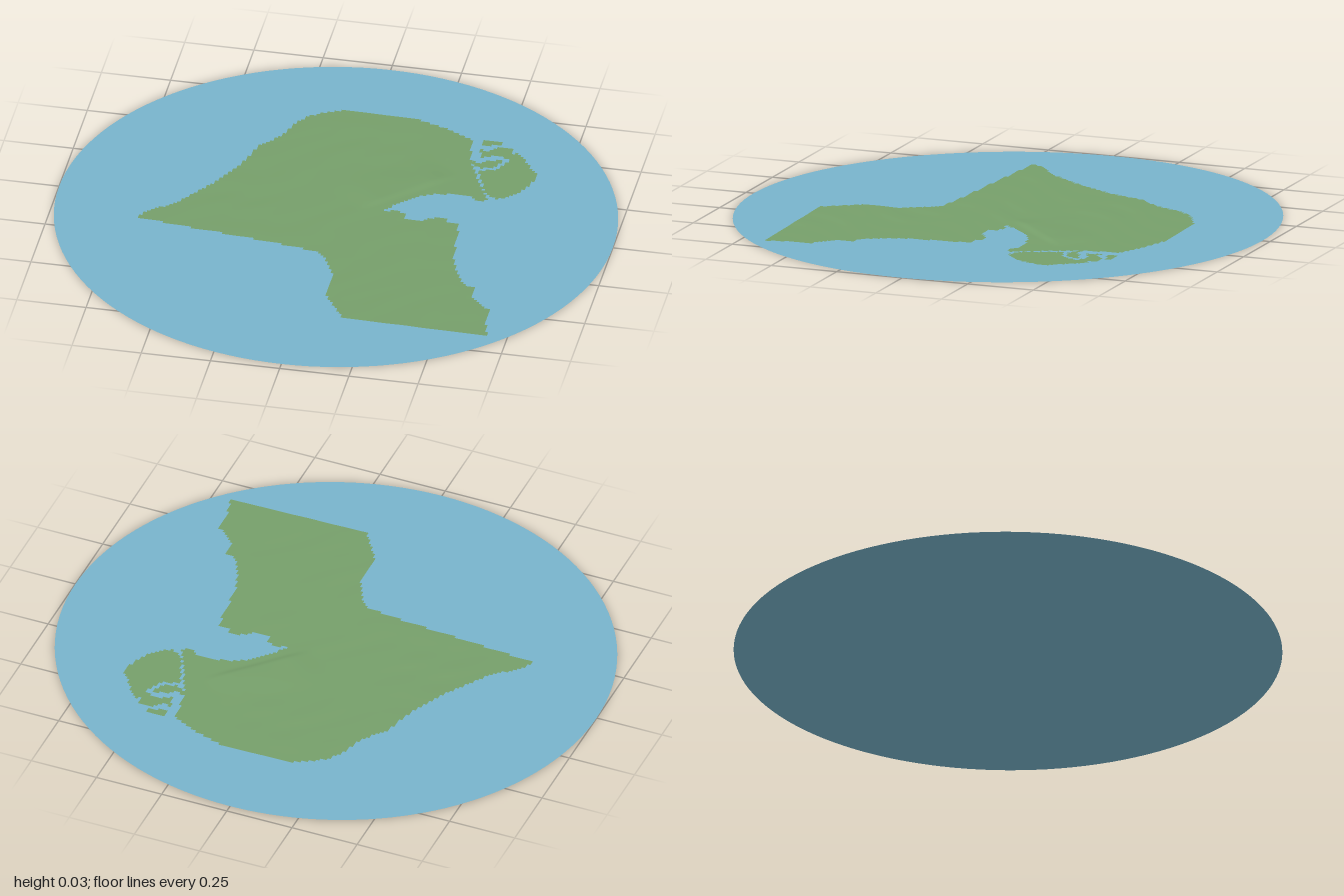
import * as THREE from 'three';

const CELL = 0.0115; // terrain grid spacing

// Coastlines and borders as x, z pairs
const MAINLAND = [
  -.11, -.665, .165, -.665, .22, -.645, .29, -.62, .375, -.575, .385, -.505, .405, -.415, .44, -.345,
  .47, -.28, .505, -.205, .47, -.195, .44, -.22, .38, -.22, .30, -.20, .245, -.165, .20, -.115, .155, -.05,
  .20, -.07, .235, -.06, .245, -.02, .30, -.02, .335, -.05, .38, -.06, .40, -.03, .44, -.03,
  .445, .055, .465, .19, .49, .27, .53, .35, .58, .355, .575, .425, .63, .48, .66, .49,
  .655, .565, .68, .655, .155, .655, .075, .53, .07, .40, .03, .31, -.01, .255, -.155, .235,
  -.685, .18, -.66, .14, -.555, .04, -.46, -.105, -.395, -.23, -.355, -.37, -.29, -.45,
  -.255, -.55, -.22, -.605,
];
const ISLANDS = {
  largeIsland: [.55, -.53, .595, -.47, .645, -.40, .635, -.33, .59, -.26, .54, -.22, .495, -.24,
    .46, -.32, .435, -.385, .47, -.40, .50, -.41, .525, -.46, .525, -.515],
  northIslet: [.41, -.59, .49, -.59, .48, -.57, .42, -.55],
  middleIslet: [.41, -.53, .44, -.52, .475, -.555, .53, -.55, .53, -.48, .47, -.50, .43, -.47],
  southIslet: [.40, -.46, .43, -.43, .46, -.46, .505, -.47, .495, -.425, .44, -.405, .41, -.42],
};

const step = THREE.MathUtils.smoothstep;

// Land falls from the western corner to the eastern shore, with one scarp beside the bay
function landHeight(x, z) {
  const slope = 0.0135 - 0.016 * x + 0.005 * z;
  const along = (x - 0.08 - z - 0.05) * 0.707;
  const across = (x - 0.08 + z + 0.05) * 0.707;
  const scarp = 0.006 * step(across, -0.2, -0.015) * (1 - step(across, -0.015, 0.015))
    * step(along, -0.02, 0.1) * (1 - step(along, 0.3, 0.42));
  const ripples = 0.0004 * Math.sin(17 * x + 31 * z + 2 * Math.sin(9 * x - 5 * z))
    + 0.0003 * Math.sin(43 * x + 24 * z + 2 * Math.sin(14 * z));
  return Math.max(0.0035, slope + scarp + ripples * step(slope, 0.004, 0.012));
}

const islandHeight = () => 0.0035;

function inside(outline, x, z) {
  let hit = false;
  for (let i = 0, j = outline.length - 2; i < outline.length; j = i, i += 2) {
    const [xi, zi, xj, zj] = [outline[i], outline[i + 1], outline[j], outline[j + 1]];
    if (zi > z !== zj > z && x < ((xj - xi) * (z - zi)) / (zj - zi) + xi) hit = !hit;
  }
  return hit;
}

// Open height sheet made of the grid cells whose centres lie inside the outline
function terrain(outline, height) {
  const positions = [], indices = [], known = new Map();
  const vertex = (i, k) => {
    const key = `${i},${k}`;
    if (!known.has(key)) {
      known.set(key, positions.length / 3);
      positions.push(i * CELL, height(i * CELL, k * CELL), k * CELL);
    }
    return known.get(key);
  };
  const n = Math.ceil(0.75 / CELL);
  for (let i = -n; i < n; i++) {
    for (let k = -n; k < n; k++) {
      if (!inside(outline, (i + 0.5) * CELL, (k + 0.5) * CELL)) continue;
      const a = vertex(i, k), b = vertex(i, k + 1), c = vertex(i + 1, k + 1), d = vertex(i + 1, k);
      indices.push(a, b, d, b, c, d);
    }
  }
  const geometry = new THREE.BufferGeometry();
  geometry.setAttribute('position', new THREE.Float32BufferAttribute(positions, 3));
  geometry.setIndex(indices);
  geometry.computeVertexNormals();
  return geometry;
}

export function createModel() {
  const water = new THREE.MeshStandardMaterial({ color: 0x78b4cc, side: THREE.DoubleSide });
  water.name = 'water blue';
  const grass = new THREE.MeshStandardMaterial({ color: 0x769f6a, side: THREE.DoubleSide });
  grass.name = 'land green';

  const model = new THREE.Group();
  model.name = 'reliefMap';
  const add = (name, geometry, material) => {
    const mesh = new THREE.Mesh(geometry, material);
    mesh.name = name;
    model.add(mesh);
  };

  // Flat, slightly oval sea
  add('sea', new THREE.CircleGeometry(1, 128).scale(1, 0.97, 1).rotateX(-Math.PI / 2), water);

  // Land
  add('mainland', terrain(MAINLAND, landHeight), grass);
  for (const [name, outline] of Object.entries(ISLANDS)) add(name, terrain(outline, islandHeight), grass);
  return model;
}
